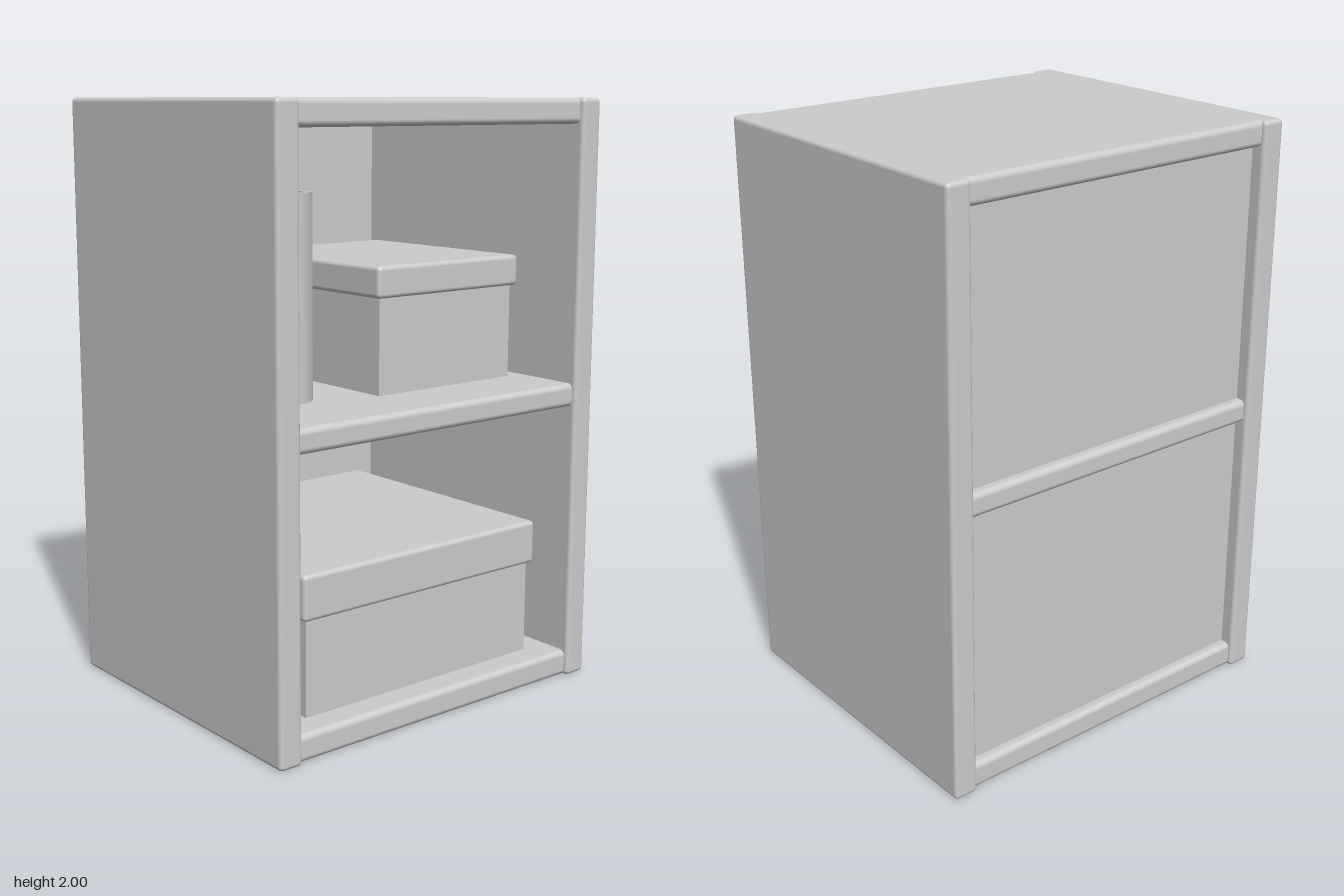
import * as THREE from 'three';
import { RoundedBoxGeometry } from 'three/addons/geometries/RoundedBoxGeometry.js';
import { toCreasedNormals } from 'three/addons/utils/BufferGeometryUtils.js';

const material = new THREE.MeshStandardMaterial({ color: 0xcccccc });

function addMesh(parent, name, geometry) {
  const mesh = new THREE.Mesh(geometry, material);
  mesh.name = name;
  parent.add(mesh);
  return mesh;
}

// Box given by its min and max on each axis, with optional rounded edges
function addBox(parent, name, [x0, x1], [y0, y1], [z0, z1], radius = 0) {
  const size = [x1 - x0, y1 - y0, z1 - z0];
  const geometry = radius
    ? new RoundedBoxGeometry(...size, 3, radius)
    : new THREE.BoxGeometry(...size);
  const mesh = addMesh(parent, name, geometry);
  mesh.position.set((x0 + x1) / 2, (y0 + y1) / 2, (z0 + z1) / 2);
  return mesh;
}

// Storage box: plain body under a slightly wider lid
function addStorageBox(parent, name, [x0, x1], [y0, yLid, y1], [z0, z1]) {
  const box = new THREE.Group();
  box.name = name;
  const inset = 0.02;
  addBox(box, 'boxBody', [x0 + inset, x1 - inset], [y0, yLid + 0.03], [z0 + inset, z1 - inset]);
  addBox(box, 'boxLid', [x0, x1], [yLid, y1], [z0, z1], 0.015);
  parent.add(box);
}

// Upright book: U-shaped cover with a rounded spine, around a recessed page block
function addBook(parent, x, width, y, height, zBack, zFront) {
  const book = new THREE.Group();
  book.name = 'book';
  const h = width / 2, t = 0.014, bulge = 0.035;
  const shoulder = zFront - bulge;
  const cover = new THREE.Shape();
  cover.moveTo(-h, zBack);
  cover.lineTo(-h + t, zBack);
  cover.lineTo(-h + t, shoulder - t);
  cover.quadraticCurveTo(0, shoulder - t + 2 * bulge, h - t, shoulder - t);
  cover.lineTo(h - t, zBack);
  cover.lineTo(h, zBack);
  cover.lineTo(h, shoulder);
  cover.quadraticCurveTo(0, shoulder + 2 * bulge, -h, shoulder);
  cover.closePath();
  const geometry = new THREE.ExtrudeGeometry(cover, { depth: height, bevelEnabled: false, curveSegments: 12 });
  geometry.rotateX(Math.PI / 2).translate(0, height, 0);
  addMesh(book, 'bookCover', toCreasedNormals(geometry, 0.6));
  addBox(book, 'bookPages', [-h + t, h - t], [0.015, height - 0.02], [zBack + 0.015, shoulder - t]);
  book.position.set(x, y, 0);
  parent.add(book);
}

export function createModel() {
  const model = new THREE.Group();
  model.name = 'bookcase';

  // Side panels
  for (const [name, x] of [['leftSide', 0.628], ['rightSide', -0.628]]) {
    addBox(model, name, [x - 0.0425, x + 0.0425], [0, 2], [-0.575, 0.575], 0.015);
  }

  // Bottom, middle and top boards, tucked into the sides
  const boards = { bottomBoard: [0, 0.09], middleShelf: [0.965, 1.045], topBoard: [1.915, 2] };
  for (const [name, range] of Object.entries(boards)) {
    addBox(model, name, [-0.61, 0.61], range, [-0.56, 0.56], 0.02);
  }

  // Thin back panel, set in from the rear edges
  addBox(model, 'backPanel', [-0.6, 0.6], [0.04, 1.96], [-0.525, -0.5]);

  // Lidded boxes
  addStorageBox(model, 'lowerBox', [-0.505, 0.505], [0.09, 0.41, 0.56], [-0.48, 0.48]);
  addStorageBox(model, 'upperBox', [-0.09, 0.54], [1.045, 1.365, 1.47], [-0.41, 0.337]);

  // Pair of books against the right side
  for (const x of [-0.507, -0.352]) addBook(model, x, 0.154, 1.045, 0.665, -0.29, 0.265);

  return model;
}
